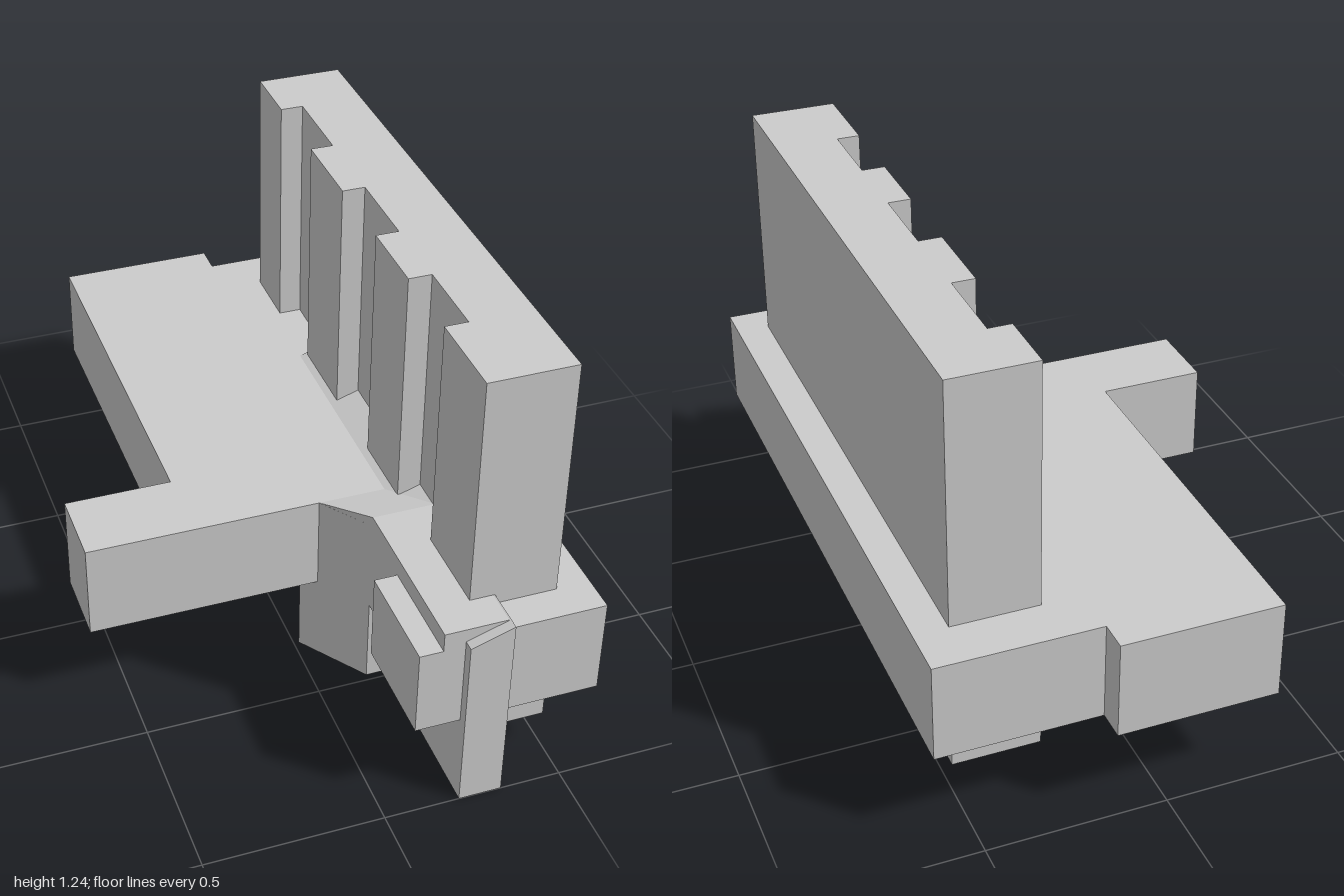
import * as THREE from 'three';

const material = new THREE.MeshStandardMaterial({ color: 0xcccccc, flatShading: true });

function mesh(name, geometry) {
  const m = new THREE.Mesh(geometry, material);
  m.name = name;
  return m;
}

// Upright prism from a plan outline of [x, z] points
function planPrism(name, points, y0, y1) {
  const shape = new THREE.Shape(points.map(([x, z]) => new THREE.Vector2(x, -z)));
  const g = new THREE.ExtrudeGeometry(shape, { depth: y1 - y0, bevelEnabled: false });
  g.rotateX(-Math.PI / 2);
  g.translate(0, y0, 0);
  return mesh(name, g);
}

// Slope the top of a prism with a height rule
function slopeTop(part, height) {
  const p = part.geometry.attributes.position;
  for (let i = 0; i < p.count; i++) {
    if (p.getY(i) > 0.3) p.setY(i, height(p.getX(i), p.getZ(i)));
  }
  part.geometry.computeVertexNormals();
  return part;
}

const rect = (x0, x1, z0, z1) => [[x0, z0], [x1, z0], [x1, z1], [x0, z1]];

export function createModel() {
  const model = new THREE.Group();
  model.name = 'slabAndWallModel';

  // Main floor slab with its side arm
  model.add(planPrism('floorSlab', [
    [-0.305, -1], [0.145, -1], [0.145, -0.915], [0.6, -0.915], [0.6, 0.97],
    [0.15, 0.97], [0.15, 0.48], [0.05, 0.34], [-0.605, 0.34], [-0.605, 0.12], [-0.305, 0.12],
  ], 0.26, 0.54));

  // Tall wall with three notches along its inner side
  const outline = [[0.505, -0.775], [0.505, 0.87], [0.26, 0.87]];
  for (const [far, near] of [[0.615, 0.385], [0.16, -0.085], [-0.335, -0.585]]) {
    outline.push([0.26, far], [0.325, far], [0.325, near], [0.26, near]);
  }
  outline.push([0.26, -0.775]);
  model.add(planPrism('notchedWall', outline, 0.1, 1.24));

  // Long keel, its top leaning across x
  model.add(slopeTop(
    planPrism('keel', rect(0.21, 0.33, -0.345, 1), 0, 0.57),
    (x) => 0.53 + ((x - 0.21) / 0.12) * 0.04));

  // Angled buttress, its top rising towards the front
  model.add(slopeTop(
    planPrism('buttress', [[0.015, 0.29], [0.33, 0.29], [0.33, 0.48], [0.15, 0.48]], 0, 0.57),
    (x, z) => 0.54 + ((z - 0.34) / 0.14) * 0.03));

  // Raised kerb and low side step
  model.add(planPrism('kerb', rect(0.15, 0.325, 0.48, 0.97), 0.26, 0.57));
  model.add(planPrism('sideStep', rect(0.085, 0.15, 0.66, 0.97), 0.26, 0.515));

  return model;
}
